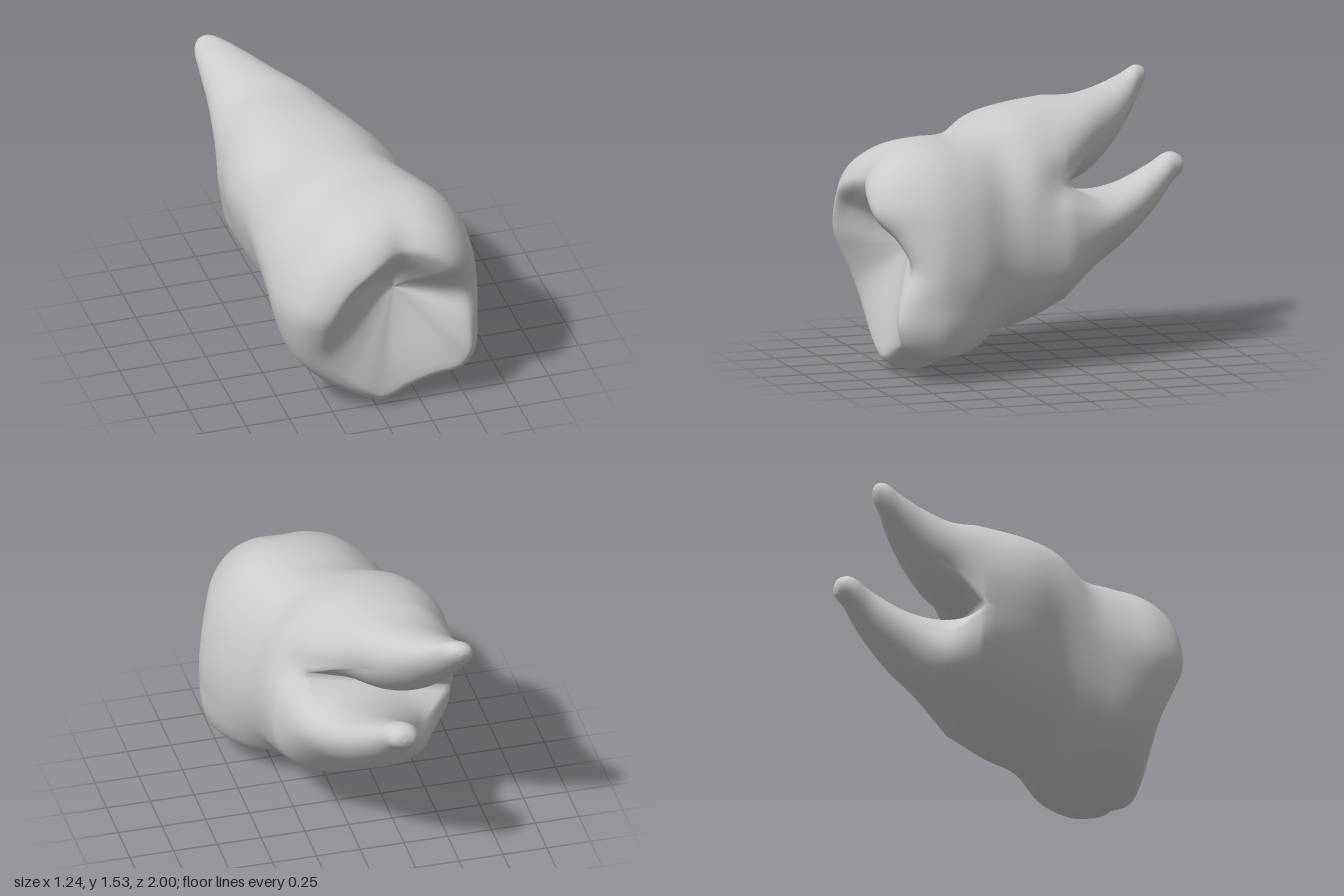
import * as THREE from 'three';
import { mergeVertices } from 'three/addons/utils/BufferGeometryUtils.js';

const V = (x, y, z) => new THREE.Vector3(x, y, z);
const SIDES = 96;

// Evenly spaced points on a smooth closed outline
function outline(points) {
  const curve = new THREE.CatmullRomCurve3(points.map(p => V(p[0], p[1], p[2] || 0)), true);
  return Array.from({ length: SIDES }, (_, j) => curve.getPointAt(j / SIDES));
}

// Fill in smooth rings between key rings of equal length
function sweep(keys, steps) {
  const curves = keys[0].map((_, j) => new THREE.CatmullRomCurve3(keys.map(k => k[j])));
  const n = (keys.length - 1) * steps;
  return Array.from({ length: n + 1 }, (_, i) => curves.map(c => c.getPoint(i / n)));
}

// Add the skin between rings, ordered from back (-z) to front (+z)
function skin(rings, pos, idx) {
  const base = pos.length / 3, m = rings[0].length;
  rings.forEach(r => r.forEach(p => pos.push(p.x, p.y, p.z)));
  for (let i = 0; i < rings.length - 1; i++) {
    for (let j = 0; j < m; j++) {
      const a = base + i * m + j, b = base + i * m + (j + 1) % m;
      idx.push(a, b, b + m, a, b + m, a + m);
    }
  }
}

// Crown: x, y of the widest outline and z of the biting rim at that point
const CROWN = outline([
  [0.62, 0.63, 0.78], [0.59, 0.85, 0.85], [0.53, 1.04, 0.96], [0.42, 1.2, 0.98], [0.28, 1.29, 0.96],
  [0.12, 1.31, 0.93], [-0.05, 1.29, 0.97], [-0.21, 1.23, 1.0], [-0.37, 1.1, 0.99], [-0.49, 0.93, 0.98],
  [-0.55, 0.74, 0.96], [-0.53, 0.56, 0.91], [-0.44, 0.33, 0.84], [-0.28, 0.16, 0.82], [-0.1, 0.05, 0.82],
  [0.03, 0, 0.81], [0.2, 0.06, 0.8], [0.35, 0.11, 0.81], [0.52, 0.16, 0.84], [0.59, 0.28, 0.87], [0.61, 0.45, 0.84],
]);

// Trunk: the undivided root behind the crown collar
const TRUNK = outline([
  [0.43, 0.65], [0.41, 0.9], [0.3, 1.16], [0.1, 1.35], [-0.12, 1.41], [-0.4, 1.37], [-0.56, 1.24],
  [-0.62, 1.05], [-0.57, 0.78], [-0.45, 0.52], [-0.25, 0.33], [0, 0.25], [0.2, 0.28], [0.36, 0.42],
]);

// Fork: where the trunk divides, waisted at both sides and slanting back on one side
const WAIST_A = [0.25, 1.03], WAIST_B = [-0.58, 0.84];
const FORK = outline([
  [0.41, 0.7], [0.37, 0.9], WAIST_A, [0.21, 1.18], [0.09, 1.32], [-0.12, 1.42], [-0.38, 1.41], [-0.54, 1.27],
  [-0.6, 1.06], WAIST_B, [-0.54, 0.66], [-0.38, 0.46], [-0.18, 0.36], [0.05, 0.345], [0.24, 0.4], [0.37, 0.52],
]);
FORK.forEach(p => { p.z = -0.22 + 0.08 * p.x; });

// Trunk, crown flank, cusps and biting surface as one continuous skin
function bodyRings() {
  const cx = 0.05, cy = 0.68, pit = V(0.12, 0.71, 0.69), belly = 0.6;
  const rim = p => 0.85 - 0.17 * p.y + (p.x < 0 ? 0.2 : 0.06) * p.x;
  const flank = t => CROWN.map(p => {
    const k = rim(p) + (1 - rim(p)) * Math.cos(t);
    return V(cx + (p.x - cx) * k, cy + (p.y - cy) * k, belly + (p.z - belly) * Math.sin(t));
  });
  const bite = u => CROWN.map(p => {
    const k = rim(p) * (1 - u), ease = 0.3 * (1 - Math.cos(Math.PI * u)) + 0.4 * u;
    const x = cx + (p.x - cx) * k + (pit.x - cx) * u, y = cy + (p.y - cy) * k + (pit.y - cy) * u;
    const hollow = 0.06 * Math.exp(-((x + 0.04) ** 2 + (y - 0.87) ** 2) / 0.02);
    return V(x, y, p.z + (pit.z - p.z) * ease - hollow);
  });
  const trunkAt = z => TRUNK.map(p => V(p.x + 0.2 * z, p.y - 0.22 * z, z));
  const collar = trunkAt(0.4).map((p, j) => p.lerp(V(CROWN[j].x, CROWN[j].y, 0.4), 0.6));
  return sweep([
    FORK, trunkAt(0), trunkAt(0.2), collar,
    ...[0, 0.3, 0.6, 0.85, 1].map(t => flank(t * Math.PI / 2)),
    ...[1, 2, 3, 4, 5, 6].map(i => bite(i / 6)),
  ], 5);
}

// Root: elliptical sections [z, centre x, centre y, radius x, radius y, tilt], tip first, ending on the fork
function rootRings(sections, start) {
  const mid = start.reduce((s, p) => s.add(p), V(0, 0, 0)).divideScalar(start.length);
  const keys = sections.map(([z, x, y, rx, ry, tilt]) => start.map(p => {
    const a = Math.atan2(p.y - mid.y, p.x - mid.x) - tilt;
    const u = rx * Math.cos(a), v = ry * Math.sin(a);
    return V(x + u * Math.cos(tilt) - v * Math.sin(tilt), y + u * Math.sin(tilt) + v * Math.cos(tilt), z);
  }));
  return sweep([...keys, start], 6);
}

export function createModel() {
  // Split the fork ring into two loops that share a bridge between the waists
  const nearest = ([x, y]) => {
    const d = FORK.map(p => Math.hypot(p.x - x, p.y - y));
    return d.indexOf(Math.min(...d));
  };
  const a = nearest(WAIST_A), b = nearest(WAIST_B);
  const bridge = Array.from({ length: 25 }, (_, i) => FORK[b].clone().lerp(FORK[a], (i + 1) / 26));
  const upperLoop = [...FORK.slice(a, b + 1), ...bridge];
  const lowerLoop = [...FORK.slice(b), ...FORK.slice(0, a + 1), ...[...bridge].reverse()];

  const pos = [], idx = [];
  skin(bodyRings(), pos, idx);
  // upper root
  skin(rootRings([
    [-0.9, -0.48, 1.48, 0, 0, 0], [-0.885, -0.48, 1.475, 0.05, 0.04, 0], [-0.84, -0.465, 1.45, 0.09, 0.08, 0],
    [-0.75, -0.405, 1.38, 0.15, 0.12, 0], [-0.6, -0.33, 1.28, 0.225, 0.18, 0.1],
    [-0.42, -0.27, 1.2, 0.31, 0.23, 0.22],
  ], upperLoop), pos, idx);
  // lower root
  skin(rootRings([
    [-1, -0.13, 1.03, 0, 0, 0], [-0.985, -0.13, 1.03, 0.06, 0.045, 0], [-0.92, -0.12, 1.015, 0.1, 0.085, 0],
    [-0.8, -0.075, 0.925, 0.145, 0.125, 0.1], [-0.6, -0.045, 0.795, 0.25, 0.17, 0.22],
    [-0.42, -0.055, 0.71, 0.37, 0.22, 0.28],
  ], lowerLoop), pos, idx);

  let geo = new THREE.BufferGeometry();
  geo.setAttribute('position', new THREE.Float32BufferAttribute(pos, 3));
  geo.setIndex(idx);
  geo = mergeVertices(geo, 1e-5);
  geo.computeVertexNormals();
  const mesh = new THREE.Mesh(geo, new THREE.MeshStandardMaterial({ color: 0xcccccc, roughness: 0.7 }));
  mesh.name = 'crownAndRoots';
  const tooth = new THREE.Group();
  tooth.name = 'molarTooth';
  tooth.add(mesh);
  return tooth;
}
